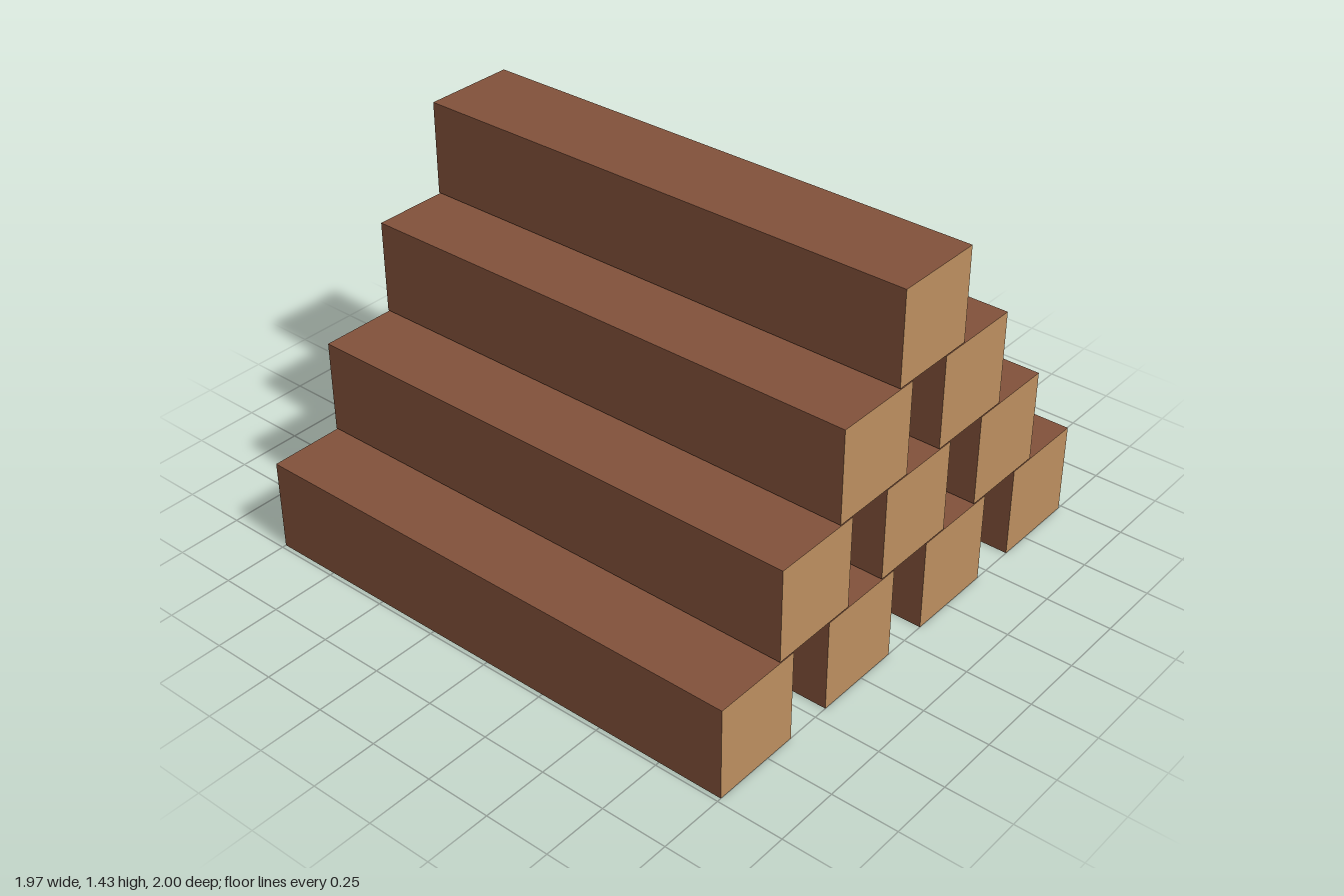
import * as THREE from 'three';

export function createModel() {
  const model = new THREE.Group();
  model.name = 'timberStack';

  const bark = new THREE.MeshStandardMaterial({ color: 0x82523b });
  bark.name = 'brown timber';
  const cut = new THREE.MeshStandardMaterial({ color: 0xbd8f5f });
  cut.name = 'pale cut end';

  // Square beam: brown long sides, pale ends
  const size = 0.354, pitchX = 0.538, pitchY = 0.3585;
  const beamGeometry = new THREE.BoxGeometry(size, size, 2);
  const faces = [bark, bark, bark, bark, cut, cut];

  // Centre x of the first beam in each row, from the ground up
  const rowStarts = [-0.807, -0.523, -0.234, 0.05];
  rowStarts.forEach((startX, row) => {
    const layer = new THREE.Group();
    layer.name = `beamRow${row + 1}`;
    for (let i = 0; i < rowStarts.length - row; i++) {
      const beam = new THREE.Mesh(beamGeometry, faces);
      beam.name = `beam${row + 1}_${i + 1}`;
      beam.position.set(startX + i * pitchX, size / 2 + row * pitchY, 0);
      layer.add(beam);
    }
    model.add(layer);
  });

  return model;
}
